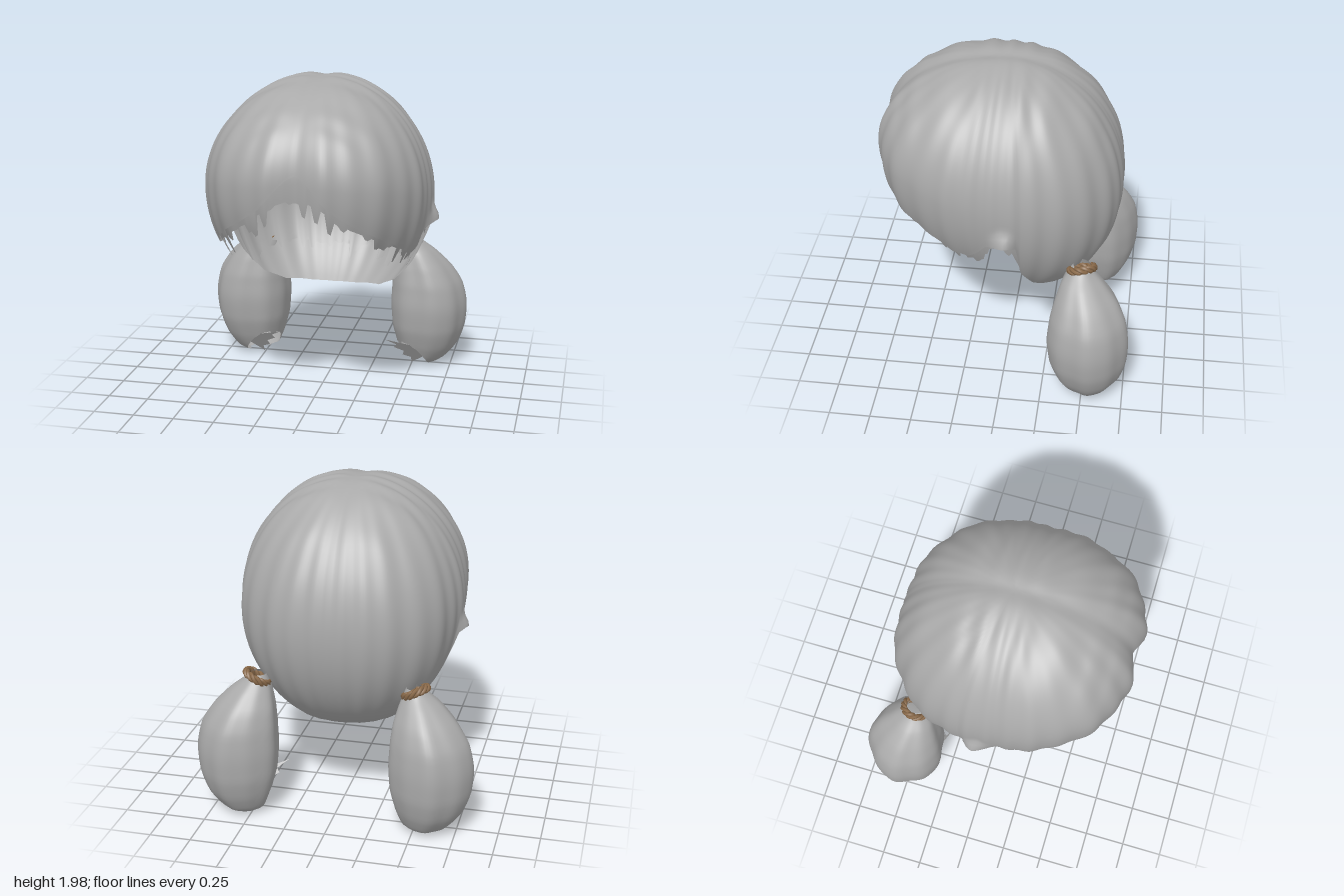
import * as THREE from 'three';
import { mergeVertices } from 'three/addons/utils/BufferGeometryUtils.js';

const hair = new THREE.MeshStandardMaterial({ name: 'grey hair', color: 0xaaaaaa, side: THREE.DoubleSide });
const tie = new THREE.MeshStandardMaterial({ name: 'brown hair tie', color: 0x8a6a4a });

let seed = 7;
const rand = () => (seed = (seed * 16807) % 2147483647) / 2147483647;
const bump = (x, width) => Math.exp(-((x / width) ** 2));

// Linear interpolation through [key, value] pairs
function sample(table, key) {
  let i = 1;
  while (i < table.length - 1 && key > table[i][0]) i++;
  const [k0, v0] = table[i - 1], [k1, v1] = table[i];
  const f = THREE.MathUtils.clamp((key - k0) / (k1 - k0), 0, 1);
  return v0 + (v1 - v0) * f;
}

// Grid of points closed around its columns; point(u, column) with u from 0 to 1
function loft(rows, cols, point) {
  const positions = [], index = [];
  for (let r = 0; r <= rows; r++) {
    for (let c = 0; c < cols; c++) positions.push(...point(r / rows, c));
  }
  for (let r = 0; r < rows; r++) {
    for (let c = 0; c < cols; c++) {
      const d = (c + 1) % cols;
      const a = r * cols + c, b = r * cols + d, e = a + cols, f = b + cols;
      index.push(a, e, b, b, e, f);
    }
  }
  let geometry = new THREE.BufferGeometry();
  geometry.setAttribute('position', new THREE.Float32BufferAttribute(positions, 3));
  geometry.setIndex(index);
  geometry = mergeVertices(geometry, 1e-5);
  geometry.computeVertexNormals();
  return geometry;
}

function addMesh(parent, name, geometry, material) {
  const mesh = new THREE.Mesh(geometry, material);
  mesh.name = name;
  parent.add(mesh);
}

// Hem heights by degrees from the front: parted fringe, sideburn, ear notch, nape
const outerHem = [[0, 1.53], [4, 1.505], [8, 1.45], [12, 1.385], [16, 1.33], [25, 1.25], [38, 1.16], [55, 1.06],
  [66, 0.99], [74, 0.97], [81, 1.03], [86, 1.1], [92, 1.125], [97, 1.13], [101, 1.1], [104, 0.85],
  [115, 0.68], [135, 0.6], [160, 0.575], [180, 0.57]];
const liningHem = [[0, 1.4], [12, 1.34], [25, 1.22], [38, 1.14], [55, 1.05], [70, 0.99],
  [82, 1.04], [97, 1.12], [104, 0.88], [115, 0.83], [180, 0.79]];
const widestHeight = [[0, 1.48], [40, 1.42], [90, 1.28], [140, 1.21], [180, 1.2]];

function capGeometry(hem, inset, jag) {
  const cols = 240;
  const jags = Array.from({ length: cols / 2 }, () => jag * rand() ** 3);
  return loft(48, cols, (u, c) => {
    const phi = (c / cols) * Math.PI * 2;
    const deg = Math.abs(((c / cols) * 360 + 180) % 360 - 180);
    const sx = Math.sin(phi), cz = Math.cos(phi);
    // Plan outline is a slightly squared oval, longer at the front
    const n = 2.3, depth = cz > 0 ? 0.765 : 0.705;
    let radius = (Math.abs(sx / 0.672) ** n + Math.abs(cz / depth) ** n) ** (-1 / n);
    const mid = sample(widestHeight, deg), top = 2 - mid, low = 0.77;
    const drop = sample(hem, deg) - jags[c >> 1] - mid;
    const end = Math.acos(THREE.MathUtils.clamp(drop / (drop > 0 ? top : low), -0.97, 0.97));
    const t = u * end, s = Math.sin(t);
    // Centre parting, combed waves and the flick above the ear
    radius *= 1 - 0.07 * bump(deg, 8) * s * s;
    const wave = 0.005 * Math.sin(deg * 0.21) + 0.005 * Math.sin(deg * 0.52 + 1.5 * Math.sin(deg * 0.07));
    radius += wave * s * Math.min(1, deg / 10);
    const flick = inset ? 0 : 0.055 * bump(deg - 94, 5) * THREE.MathUtils.smoothstep(u, 0.92, 1);
    const r = (radius - inset) * s + flick;
    const x = r * sx, z = 0.03 + r * cz, up = Math.max(0, Math.cos(t));
    const y = mid + (t < Math.PI / 2 ? top - inset : low) * Math.cos(t);
    // Strands combed sideways from the parting over the crown
    const strand = 0.007 * Math.sin(z * 40 + 2 * Math.sin(z * 9)) * Math.min(1, Math.abs(x) * 4);
    return [x, y + up * (strand - 0.014 * bump(x, 0.06)), z];
  });
}

// Pigtail centre line and radius
const tailRings = [[0.475, 0.885, -0.465, 0.05], [0.49, 0.845, -0.465, 0.08], [0.515, 0.79, -0.475, 0.125],
  [0.55, 0.69, -0.50, 0.185], [0.58, 0.57, -0.515, 0.228], [0.592, 0.42, -0.52, 0.245],
  [0.592, 0.28, -0.525, 0.235], [0.585, 0.15, -0.53, 0.195], [0.565, 0.05, -0.53, 0.135], [0.55, 0.01, -0.53, 0.07]];
const tailPath = new THREE.CatmullRomCurve3(tailRings.map(p => new THREE.Vector3(p[0], p[1], p[2])));
const tailRadius = new THREE.CatmullRomCurve3(tailRings.map(p => new THREE.Vector3(p[3], 0, 0)));

function tailGeometry() {
  const cols = 60;
  const jags = Array.from({ length: cols }, () => rand());
  return loft(36, cols, (u, c) => {
    const a = -(c / cols) * Math.PI * 2;
    // The open end is cut back on the side facing inward and forward
    const inward = Math.max(0, Math.cos(a - 2.35));
    const s = u * (1 - inward * (0.22 + 0.04 * jags[c >> 1]));
    const p = tailPath.getPoint(s);
    const lump = 1 + (0.03 * Math.cos(a * 5 + 1) + 0.015 * Math.cos(a * 9)) * Math.min(1, s * 3);
    const r = tailRadius.getPoint(s).x * lump;
    return [p.x + r * Math.cos(a), p.y, p.z + r * Math.sin(a) * 0.98];
  });
}

// Ragged sheet of strand tips in the open end
function tipsGeometry() {
  const root = new THREE.Vector3(0.66, 0.12, -0.42), positions = [], count = 6;
  const from = new THREE.Vector3(0.35, 0.23, -0.27), to = new THREE.Vector3(0.5, 0.02, -0.45);
  const tip = i => from.clone().lerp(to, i / count).lerp(root, i % 2 ? 0.15 : 0).toArray();
  for (let i = 0; i < count; i++) positions.push(...root.toArray(), ...tip(i), ...tip(i + 1));
  const geometry = new THREE.BufferGeometry();
  geometry.setAttribute('position', new THREE.Float32BufferAttribute(positions, 3));
  geometry.computeVertexNormals();
  return geometry;
}

// One strand of the twisted hair tie
function cordGeometry(phase) {
  const points = [];
  for (let i = 0; i < 64; i++) {
    const a = (i / 64) * Math.PI * 2, w = a * 4 + phase, r = 0.073 + 0.009 * Math.cos(w);
    points.push(new THREE.Vector3(r * Math.cos(a), 0.014 * Math.sin(w), r * Math.sin(a)));
  }
  return new THREE.TubeGeometry(new THREE.CatmullRomCurve3(points, true), 128, 0.012, 6, true);
}

export function createModel() {
  const model = new THREE.Group();
  model.name = 'pigtailHair';
  addMesh(model, 'hairCap', capGeometry(outerHem, 0, 0), hair);
  addMesh(model, 'raggedLining', capGeometry(liningHem, 0.022, 0.12), hair);

  const tail = tailGeometry(), tips = tipsGeometry();
  const cords = [0, 1, 2].map(i => cordGeometry(i * Math.PI * 2 / 3));
  for (const side of [1, -1]) {
    const pigtail = new THREE.Group();
    pigtail.name = side > 0 ? 'leftPigtail' : 'rightPigtail';
    addMesh(pigtail, 'tail', tail, hair);
    addMesh(pigtail, 'strandTips', tips, hair);
    const band = new THREE.Group();
    band.name = 'hairTie';
    band.position.set(0.482, 0.858, -0.468);
    band.quaternion.setFromUnitVectors(new THREE.Vector3(0, 1, 0), new THREE.Vector3(-0.45, 0.85, 0.2).normalize());
    cords.forEach(cord => addMesh(band, 'cord', cord, tie));
    pigtail.add(band);
    pigtail.scale.x = side;
    model.add(pigtail);
  }
  return model;
}
